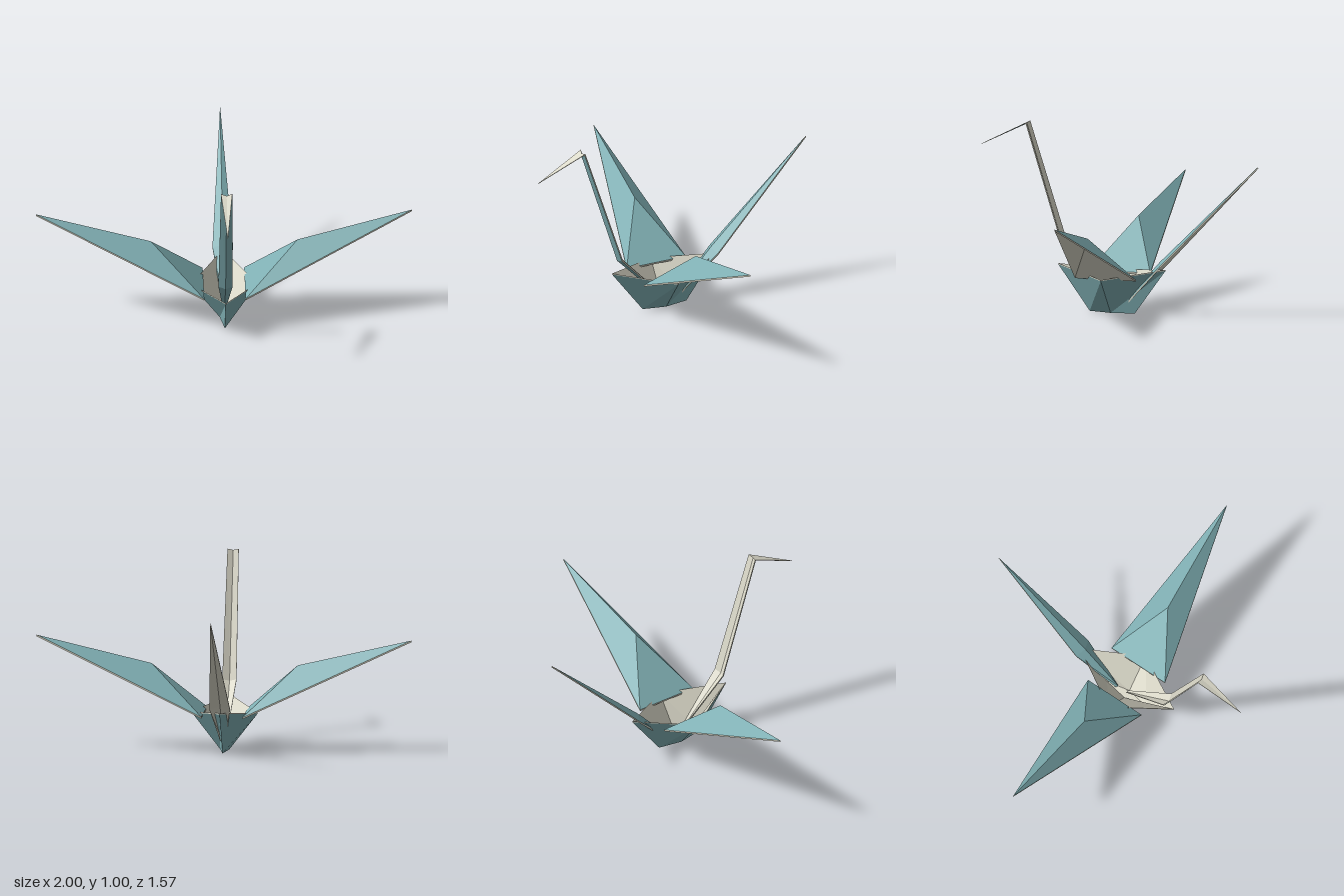
import * as THREE from 'three';

// Two-tone paper: teal on the outer face, cream on the inner face and cut edge
const outer = new THREE.MeshStandardMaterial({ color: 0x80b0b4, flatShading: true });
const inner = new THREE.MeshStandardMaterial({ color: 0xdcdaca, flatShading: true });

const mirrored = (tris) => tris.map(([a, b, c]) => [a, c, b].map(([x, y, z]) => [x ? -x : 0, y, z]));

function face(name, tris, material) {
  const geometry = new THREE.BufferGeometry();
  geometry.setAttribute('position', new THREE.Float32BufferAttribute(tris.flat(2), 3));
  geometry.computeVertexNormals();
  const mesh = new THREE.Mesh(geometry, material);
  mesh.name = name;
  return mesh;
}

// One folded sheet: outer face, inner face shifted by the paper thickness, rim between
function paper(name, tris, shift) {
  const move = (p) => p.map((v, i) => v + shift[i]);
  const key = (a, b) => a.join() + '>' + b.join();
  const edges = tris.flatMap(([a, b, c]) => [[a, b], [b, c], [c, a]]);
  const used = new Set(edges.map(([a, b]) => key(a, b)));
  const back = tris.map(([a, b, c]) => [move(a), move(c), move(b)]);
  for (const [a, b] of edges) {
    if (used.has(key(b, a))) continue;
    back.push([b, a, move(a)], [b, move(a), move(b)]);
  }
  const group = new THREE.Group();
  group.name = name;
  group.add(face(name + 'Outer', tris, outer), face(name + 'Inner', back, inner));
  return group;
}

// V-folded strip: each section is [half width, edge y, edge z, ridge y, ridge z]
function foldedStrip(name, sections, shift) {
  const tris = [];
  for (let i = 0; i + 1 < sections.length; i++) {
    const [w0, ey0, ez0, ry0, rz0] = sections[i];
    const [w1, ey1, ez1, ry1, rz1] = sections[i + 1];
    const r0 = [0, ry0, rz0], r1 = [0, ry1, rz1];
    const e0 = [w0, ey0, ez0], e1 = [w1, ey1, ez1];
    tris.push([r0, e0, e1]);
    if (w1 > 0) tris.push([r0, e1, r1]);
  }
  return paper(name, [...tris, ...mirrored(tris)], shift);
}

export function createModel() {
  const model = new THREE.Group();
  model.name = 'foldedPaperBird';

  // Body: open four-sided bowl, its rim and keel joined by a ring of facets
  const rim = [[0, 0.24, 0.35], [0.175, 0.195, 0.045], [0, 0.24, -0.257], [-0.175, 0.195, 0.045]];
  const keel = [[0, 0, 0.172], [0.024, 0, 0.045], [0, 0, -0.083], [-0.024, 0, 0.045]];
  const bowl = [[keel[0], keel[2], keel[1]], [keel[0], keel[3], keel[2]]];
  for (let i = 0; i < 4; i++) {
    const j = (i + 1) % 4;
    bowl.push([keel[i], keel[j], rim[j]], [keel[i], rim[j], rim[i]]);
  }
  model.add(paper('body', bowl, [0, 0.006, 0]));

  // Wings: three facets meeting at a raised crease
  const tip = [1, 0.61, 0], crease = [0.39, 0.46, 0.04];
  const wingFront = [0.11, 0.2, 0.215], wingBack = [0.11, 0.203, -0.13];
  const wing = [[tip, crease, wingFront], [tip, wingBack, crease], [crease, wingBack, wingFront]];
  model.add(paper('leftWing', wing, [0, -0.009, 0]));
  model.add(paper('rightWing', mirrored(wing), [0, -0.009, 0]));

  // Neck rising from inside the body, bent forward into the head
  model.add(foldedStrip('neckAndHead', [
    [0.005, 0.04, 0.045, 0.035, 0.05],
    [0.038, 0.327, 0.31, 0.317, 0.322],
    [0.03, 0.994, 0.525, 0.986, 0.533],
    [0, 0.862, 0.785, 0.862, 0.785],
  ], [0, 0.006, -0.005]));

  // Tail: long ridged spike, widest just above the body
  model.add(foldedStrip('tail', [
    [0.008, 0.035, -0.02, 0.045, -0.01],
    [0.055, 0.268, -0.242, 0.286, -0.225],
    [0, 0.83, -0.779, 0.83, -0.779],
  ], [0, -0.005, -0.005]));

  return model;
}
